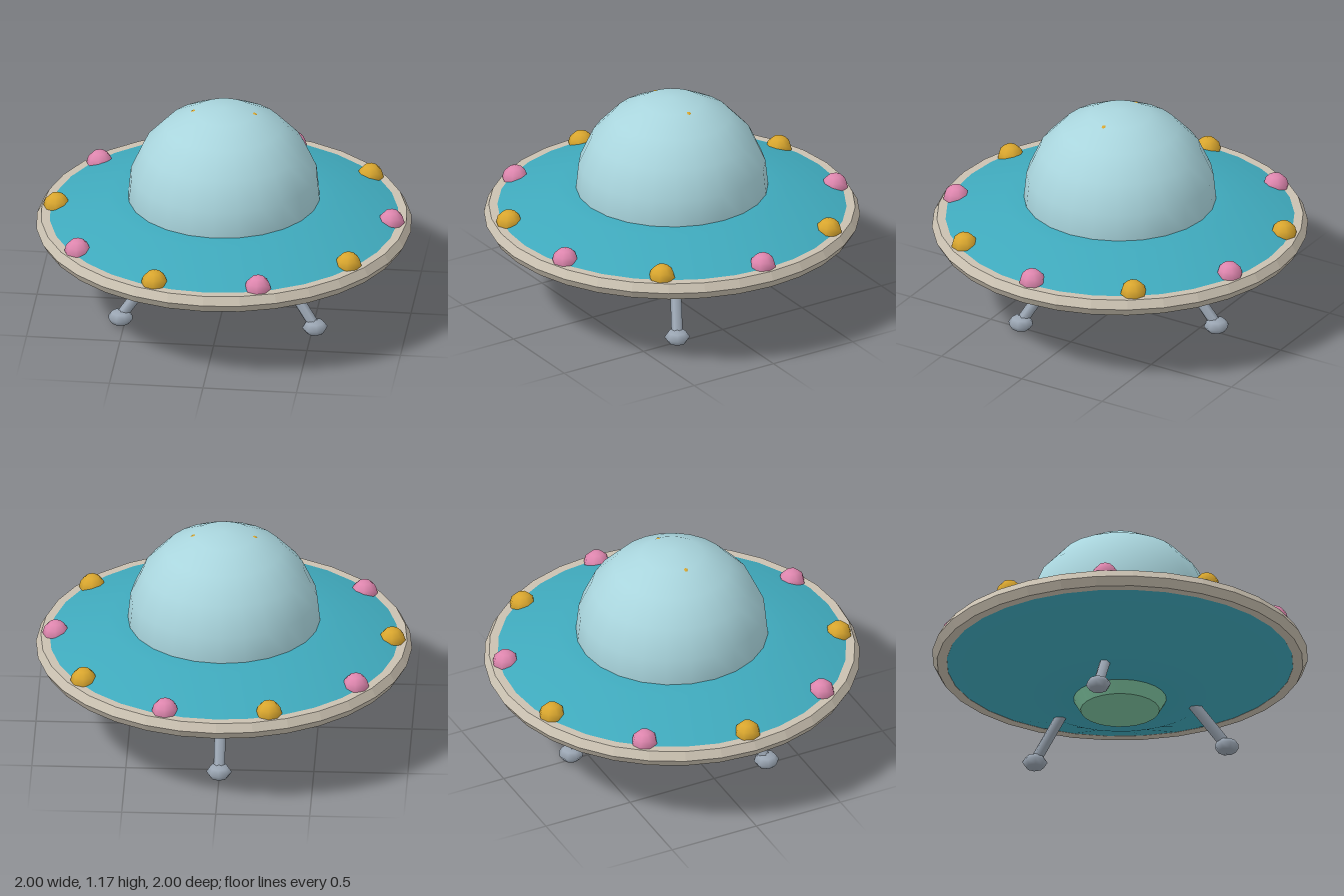
import * as THREE from 'three';

export function createModel() {
  const root = new THREE.Group();
  root.name = 'flyingSaucer';

  const mat = (name, color) => {
    const m = new THREE.MeshStandardMaterial({ color });
    m.name = name;
    return m;
  };
  const teal = mat('hullTeal', 0x3fa9bc);
  const glass = mat('domeBlue', 0xa9d5dd);
  const cream = mat('rimCream', 0xcac1b1);
  const gold = mat('lightGold', 0xd9a62e);
  const pink = mat('lightPink', 0xde86ae);
  const steel = mat('legSteel', 0x9aa5b2);
  const green = mat('hatchGreen', 0x7fc6a1);
  cream.flatShading = true;

  const add = (name, geometry, material, x = 0, y = 0, z = 0, parent = root) => {
    const mesh = new THREE.Mesh(geometry, material);
    mesh.name = name;
    mesh.position.set(x, y, z);
    parent.add(mesh);
    return mesh;
  };
  const lathe = (pts) =>
    new THREE.LatheGeometry(pts.map(([x, y]) => new THREE.Vector2(x, y)), 32);

  // Saucer hull, lower and upper shells meeting inside the rim
  add('hullBottom', lathe([[0, 0.23], [0.25, 0.231], [0.44, 0.245], [0.95, 0.455]]), teal);
  add('hullTop', lathe([[0.95, 0.524], [0.615, 0.645], [0.4, 0.648], [0, 0.648]]), teal);

  // Six-sided rim ring
  const rim = new THREE.TorusGeometry(0.948, 0.052, 6, 32);
  rim.rotateX(Math.PI / 2);
  add('rim', rim, cream, 0, 0.487, 0);

  // Cockpit dome
  add('dome', new THREE.SphereGeometry(0.515, 24, 5, 0, Math.PI * 2, 0, Math.PI * 0.52),
    glass, 0, 0.653, 0);

  // Small tips that just break through the dome
  for (const s of [-1, 1]) {
    add('antennaTip', new THREE.SphereGeometry(0.022, 8, 6), gold, s * 0.16, 1.122, 0);
  }

  // Alternating lights around the rim
  const lightGeo = new THREE.SphereGeometry(0.07, 8, 6);
  for (let i = 0; i < 10; i++) {
    const a = (i * Math.PI) / 5;
    add('rimLight', lightGeo, i % 2 ? gold : pink,
      0.895 * Math.cos(a), 0.538, 0.895 * Math.sin(a));
  }

  // Belly hatch
  add('bellyHatch', new THREE.CylinderGeometry(0.255, 0.21, 0.08, 24), green, 0, 0.205, 0);

  // Three splayed legs with rounded feet
  const top = new THREE.Vector3(0.35, 0.33, 0);
  const bottom = new THREE.Vector3(0.598, 0.05, 0);
  const dir = top.clone().sub(bottom);
  const mid = top.clone().add(bottom).multiplyScalar(0.5);
  const strutGeo = new THREE.CylinderGeometry(0.03, 0.03, dir.length(), 6);
  const footGeo = new THREE.SphereGeometry(0.068, 8, 4).scale(1, 0.62, 1);
  for (let i = 0; i < 3; i++) {
    const leg = new THREE.Group();
    leg.name = 'leg';
    leg.rotation.y = Math.PI / 2 + (i * Math.PI * 2) / 3;
    const strut = add('legStrut', strutGeo, steel, mid.x, mid.y, 0, leg);
    strut.quaternion.setFromUnitVectors(new THREE.Vector3(0, 1, 0), dir.clone().normalize());
    add('foot', footGeo, steel, 0.6, 0.0422, 0, leg);
    root.add(leg);
  }

  return root;
}
